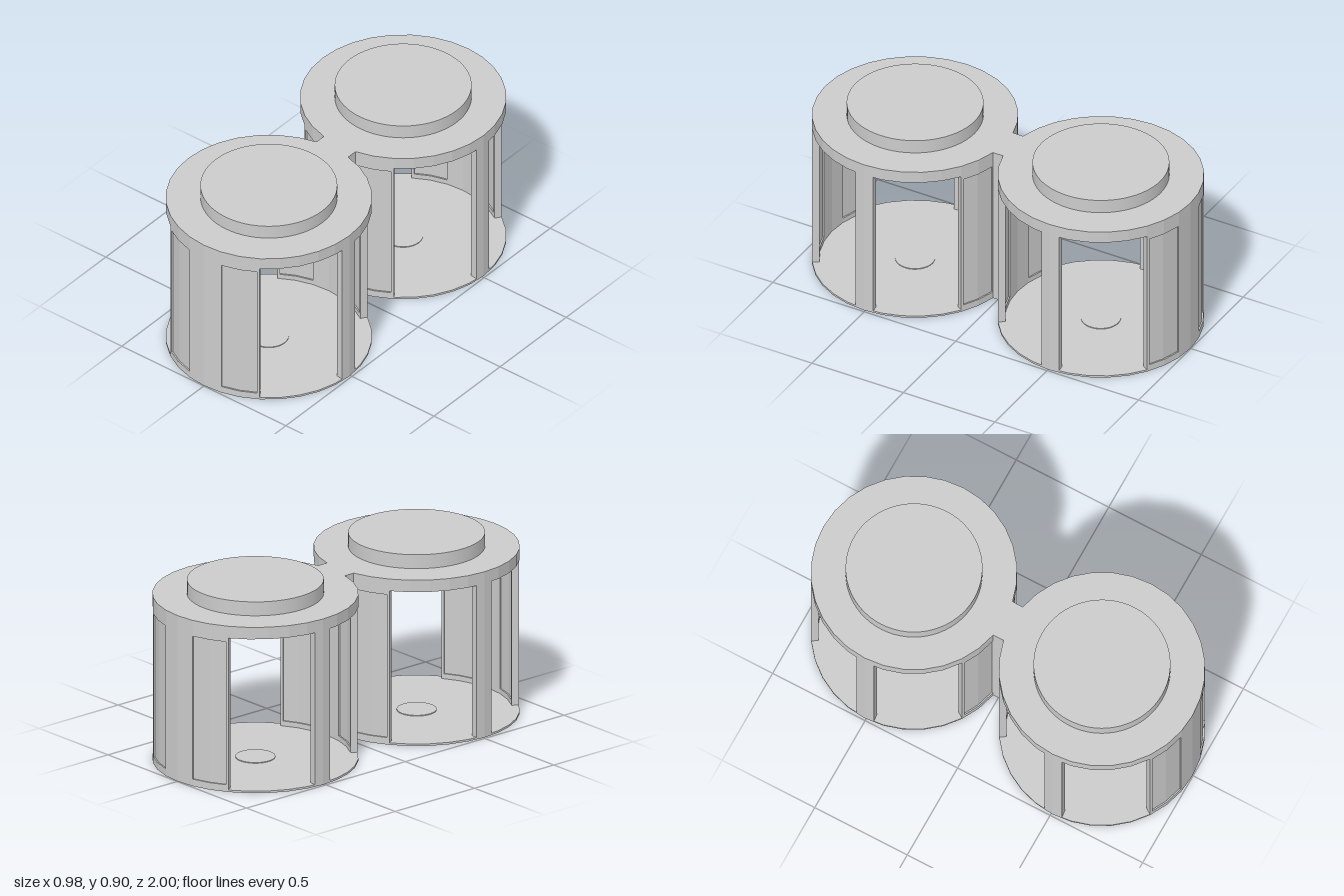
import * as THREE from 'three';

const SIDES = 32, R_OUT = 0.49, R_IN = 0.455, RECESS = 0.007;
const FLOOR = 0.01, CEILING = 0.775, ROOF = 0.835, CAP = 0.905;
const OFFSET = 0.508;

const grey = new THREE.MeshStandardMaterial({ color: 0xcccccc, flatShading: true });
const smoothGrey = new THREE.MeshStandardMaterial({ color: 0xcccccc });

// Point on a 32-sided ring; s counts sides from +z towards +x
function ringPoint(r, s) {
  const i = Math.floor(s), step = (Math.PI * 2) / SIDES;
  const at = (k) => new THREE.Vector2(r * Math.sin(k * step), r * Math.cos(k * step));
  return at(i).lerp(at(i + 1), s - i);
}

function add(parent, name, geometry, material = grey) {
  const mesh = new THREE.Mesh(geometry, material);
  mesh.name = name;
  parent.add(mesh);
  return mesh;
}

// Upright prism from a plan outline of [radius, side] pairs
function prism(outer, inner, y0, y1) {
  const pts = [...outer, ...inner.reverse()].map(([r, s]) => ringPoint(r, s));
  const geo = new THREE.ExtrudeGeometry(new THREE.Shape(pts), { depth: y1 - y0, bevelEnabled: false });
  geo.rotateX(-Math.PI / 2);
  return geo.translate(0, y0, 0);
}

// Disc standing on y0
function disc(parent, name, r, y0, y1, sides, material) {
  const mesh = add(parent, name, new THREE.CylinderGeometry(r, r, y1 - y0, sides), material);
  mesh.position.y = (y0 + y1) / 2;
}

// Curved wall with two sunken panels on both faces
function createWall() {
  const wall = new THREE.Group();
  wall.name = 'curvedWall';
  const plain = (r) => [-3, -2, -1, 0, 1, 2, 3].map((s) => [r, s]);
  const sunken = (r, d) => [
    [r, -3], [r, -2.86], [r + d, -2.86], [r + d, -2], [r + d, -1.02], [r, -1.02], [r, -1],
    [r, 0], [r, 1], [r, 1.02], [r + d, 1.02], [r + d, 2], [r + d, 2.86], [r, 2.86], [r, 3],
  ];
  add(wall, 'wallBottom', prism(plain(R_OUT), plain(R_IN), 0, 0.035));
  add(wall, 'wallPanels', prism(sunken(R_OUT, -RECESS), sunken(R_IN, RECESS), 0.035, 0.755));
  add(wall, 'wallTop', prism(plain(R_OUT), plain(R_IN), 0.755, CEILING));
  return wall;
}

function createPavilion() {
  const pavilion = new THREE.Group();
  pavilion.name = 'roundPavilion';

  // Floor, roof and raised cap
  disc(pavilion, 'floor', R_OUT, 0, FLOOR, SIDES);
  disc(pavilion, 'roof', R_OUT, CEILING, ROOF, SIDES);
  disc(pavilion, 'roofCap', 0.325, ROOF, CAP, 64, smoothGrey);

  // Small round plates in the middle of floor and ceiling
  disc(pavilion, 'floorPlate', 0.095, FLOOR, FLOOR + 0.004, 32, smoothGrey);
  disc(pavilion, 'ceilingPlate', 0.095, CEILING - 0.004, CEILING, 32, smoothGrey);

  // Front and back walls
  for (const turn of [0, Math.PI]) {
    const wall = createWall();
    wall.rotation.y = turn;
    pavilion.add(wall);
  }

  // Narrow posts dividing the side openings
  for (const s of [8, 24]) {
    const arc = (r) => [s - 0.5, s, s + 0.5].map((k) => [r, k]);
    add(pavilion, 'sidePost', prism(arc(R_OUT), arc(R_IN), FLOOR, CEILING));
  }
  return pavilion;
}

export function createModel() {
  const model = new THREE.Group();
  model.name = 'twinPavilions';
  for (const side of [1, -1]) {
    const pavilion = createPavilion();
    pavilion.position.z = side * OFFSET;
    model.add(pavilion);
  }
  // Full-height link joining the two pavilions
  const link = add(model, 'link', new THREE.BoxGeometry(0.192, ROOF, 0.056));
  link.position.y = ROOF / 2;
  return model;
}
